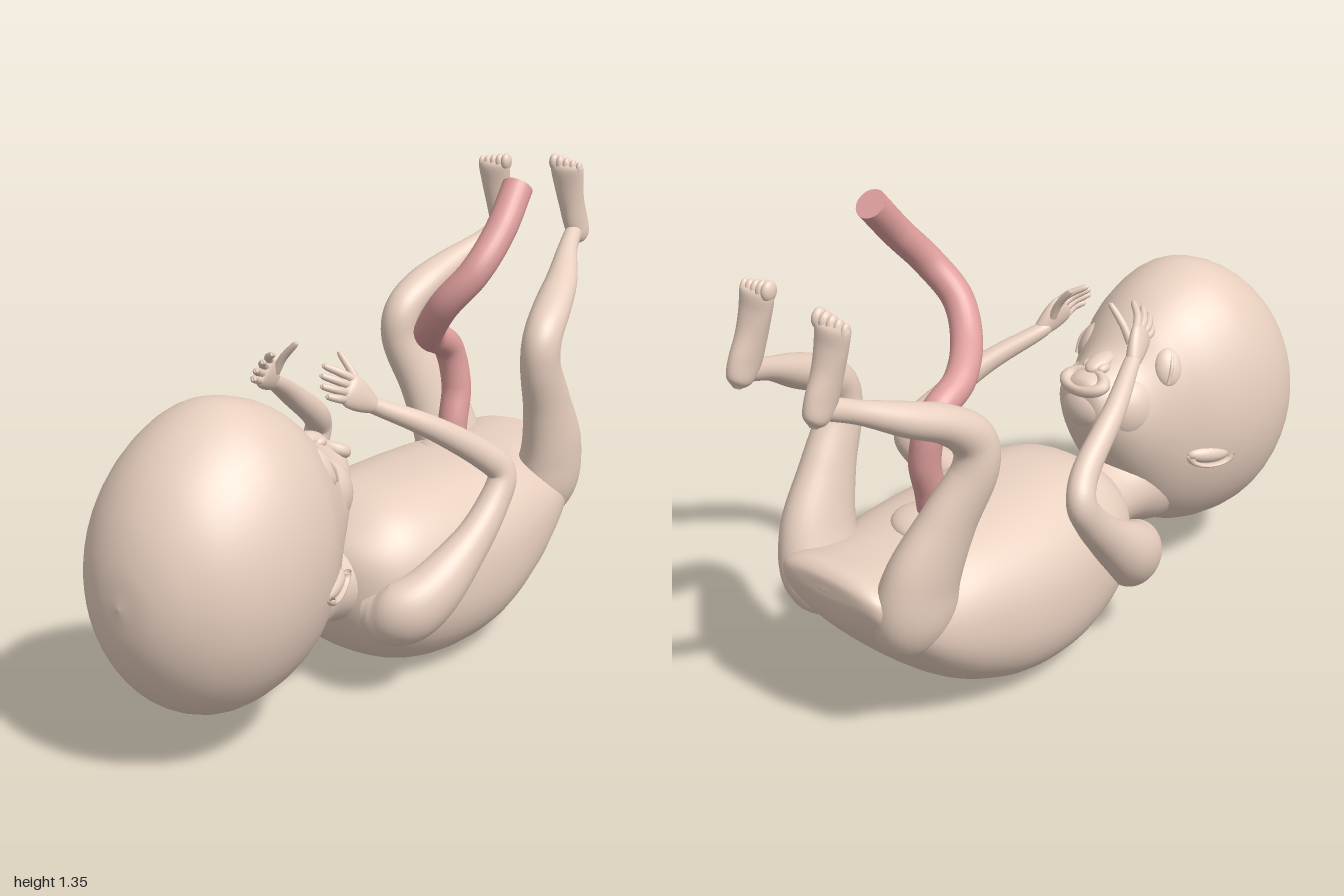
import * as THREE from 'three';

const skin = new THREE.MeshStandardMaterial({ color: 0xe9d0c0, side: THREE.DoubleSide });
const cordMat = new THREE.MeshStandardMaterial({ color: 0xdf9f9d, side: THREE.DoubleSide });
const V = (x, y, z) => new THREE.Vector3(x, y, z);

// Smooth skin through sections [x, y, z, radius in the x-y plane, radius across].
// With alongX the rings stay square to x; power above 2 makes them boxier.
function loft(sections, { alongX = false, power = 2, steps = 8, sides = 32 } = {}) {
  const curve = points => new THREE.CatmullRomCurve3(points, false, 'catmullrom', 0.5);
  const centre = curve(sections.map(s => V(s[0], s[1], s[2])));
  const radii = curve(sections.map(s => V(s[3], s[4], 0)));
  const n = (sections.length - 1) * steps, pos = [], index = [];
  const round = t => Math.sign(t) * Math.abs(t) ** (2 / power);
  for (let i = 0; i <= n; i++) {
    const c = centre.getPoint(i / n), r = radii.getPoint(i / n);
    const T = alongX ? V(1, 0, 0) : centre.getTangent(i / n);
    const S = V(0, 0, 1).addScaledVector(T, -T.z).normalize();
    const N = S.clone().cross(T);
    for (let j = 0; j < sides; j++) {
      const a = j / sides * Math.PI * 2;
      const p = c.clone()
        .addScaledVector(N, Math.max(r.x, 0.0005) * round(Math.cos(a)))
        .addScaledVector(S, Math.max(r.y, 0.0005) * round(Math.sin(a)));
      pos.push(p.x, p.y, p.z);
      if (i < n) {
        const k = (j + 1) % sides, A = i * sides, B = A + sides;
        index.push(A + j, A + k, B + k, A + j, B + k, B + j);
      }
    }
  }
  const g = new THREE.BufferGeometry();
  g.setAttribute('position', new THREE.Float32BufferAttribute(pos, 3));
  g.setIndex(index);
  g.computeVertexNormals();
  return g;
}

// Rows [x, lowest y, highest y, half width] to loft sections
const rows = list => list.map(([x, lo, hi, w]) => [x, (lo + hi) / 2, 0, (hi - lo) / 2, w]);

export function createModel() {
  const model = new THREE.Group();
  const add = (name, geometry, material = skin, parent = model) => {
    const m = new THREE.Mesh(geometry, material);
    m.name = name;
    parent.add(m);
    return m;
  };
  const blob = (name, p, s, tilt = [0, 0, 0], parent = model) => {
    const m = add(name, new THREE.SphereGeometry(1, 24, 16), skin, parent);
    m.position.set(...p);
    m.scale.set(...s);
    m.rotation.set(...tilt);
    return m;
  };

  // Head, tapering from the cranium to the jaw
  add('head', loft(rows([
    [-1, 0.51, 0.511, 0.001], [-0.985, 0.395, 0.62, 0.09], [-0.94, 0.293, 0.73, 0.17],
    [-0.86, 0.2, 0.832, 0.242], [-0.75, 0.143, 0.91, 0.287], [-0.63, 0.135, 0.945, 0.297],
    [-0.5, 0.162, 0.91, 0.268], [-0.4, 0.225, 0.848, 0.215], [-0.32, 0.335, 0.77, 0.165],
    [-0.25, 0.435, 0.733, 0.125], [-0.2, 0.52, 0.722, 0.09], [-0.175, 0.575, 0.7, 0.06],
    [-0.165, 0.64, 0.642, 0.001],
  ]), { alongX: true, sides: 48 }));

  // Neck
  add('neck', loft([
    [-0.62, 0.4, 0, 0.14, 0.17], [-0.45, 0.345, 0, 0.155, 0.16], [-0.33, 0.335, 0, 0.12, 0.13],
    [-0.24, 0.325, 0, 0.115, 0.122], [-0.1, 0.3, 0, 0.14, 0.16],
  ], { alongX: true }));

  // Trunk from shoulders to rump
  add('trunk', loft(rows([
    [-0.24, 0.3, 0.34, 0.02], [-0.22, 0.22, 0.42, 0.12], [-0.17, 0.135, 0.475, 0.2],
    [-0.09, 0.065, 0.525, 0.25], [0.02, 0.018, 0.545, 0.28], [0.15, 0.002, 0.542, 0.3],
    [0.3, 0.015, 0.535, 0.303], [0.45, 0.07, 0.525, 0.285], [0.57, 0.15, 0.5, 0.262],
    [0.68, 0.25, 0.505, 0.235], [0.76, 0.345, 0.515, 0.195], [0.795, 0.42, 0.495, 0.14],
    [0.8, 0.457, 0.459, 0.001],
  ]), { alongX: true, power: 2.35, sides: 48 }));
  blob('navel', [0.43, 0.505, -0.01], [0.1, 0.04, 0.11]);

  // Nose, lips and chin
  blob('nose', [-0.265, 0.738, 0], [0.055, 0.022, 0.032], [0, 0, -0.2]);
  for (const s of [-1, 1]) blob('nostril', [-0.25, 0.731, 0.026 * s], [0.024, 0.015, 0.016]);
  const lips = add('lips', new THREE.TorusGeometry(0.055, 0.018, 12, 32));
  lips.position.set(-0.2, 0.7, 0);
  lips.scale.set(0.7, 1.15, 1);
  lips.rotation.set(-Math.PI / 2, 0.45, 0);
  blob('chin', [-0.195, 0.625, 0], [0.04, 0.06, 0.07]);

  // Closed eyes, cheeks and ears
  for (const s of [-1, 1]) {
    blob('eyelid', [-0.39, 0.725, 0.146 * s], [0.042, 0.058, 0.026], [-0.5 * s, 0.5 * s, 0.35]);
    const crease = new THREE.CatmullRomCurve3([
      V(-0.402, 0.768, 0.147 * s), V(-0.378, 0.732, 0.168 * s), V(-0.362, 0.688, 0.17 * s)]);
    add('eyeCrease', new THREE.TubeGeometry(crease, 12, 0.006, 8));
    blob('cheek', [-0.31, 0.61, 0.075 * s], [0.1, 0.1, 0.075]);
    const ear = new THREE.Group();
    ear.name = 'ear';
    ear.position.set(-0.47, 0.455, 0.236 * s);
    ear.rotation.set(0, 0.35 * s, 0.15);
    model.add(ear);
    blob('earBody', [0, 0, 0], [0.07, 0.026, 0.026], [0, 0, 0], ear);
    // Only the lower edge of the ear folds over
    const rim = add('earRim', new THREE.TorusGeometry(0.06, 0.011, 10, 24, Math.PI), skin, ear);
    rim.scale.set(1.15, 0.5, 1);
    rim.position.z = 0.018 * s;
    rim.rotation.z = Math.PI;
  }

  // Arms: z at elbow, wrist and fingertips
  for (const [s, elbow, wrist, tip] of [[1, 0.315, 0.135, 0.075], [-1, 0.322, 0.205, 0.135]]) {
    const arm = new THREE.Group();
    arm.name = s > 0 ? 'leftArm' : 'rightArm';
    model.add(arm);
    add('upperArmAndForearm', loft([
      [-0.17, 0.25, 0.13 * s, 0.06, 0.06], [-0.155, 0.255, 0.215 * s, 0.095, 0.08],
      [-0.08, 0.305, 0.268 * s, 0.088, 0.075], [0.05, 0.41, 0.303 * s, 0.06, 0.052],
      [0.145, 0.505, elbow * s, 0.047, 0.042], [0.185, 0.58, elbow * s, 0.043, 0.038],
      [0.13, 0.645, (elbow - 0.03) * s, 0.04, 0.036],
      [-0.02, 0.75, (elbow * 0.45 + wrist * 0.55) * s, 0.032, 0.03],
      [-0.15, 0.825, wrist * s, 0.023, 0.023], [-0.18, 0.842, (wrist - 0.01) * s, 0.02, 0.02],
    ]), skin, arm);
    const w = V(-0.155, 0.825, wrist * s), t = V(-0.235, 0.89, (wrist * 0.55 + tip * 0.45) * s);
    const at = (k, r1, r2) => [...w.clone().lerp(t, k).toArray(), r1, r2];
    add('palm', loft([at(-0.1, 0.012, 0.012), at(0.15, 0.026, 0.02), at(0.6, 0.042, 0.022),
      at(0.95, 0.042, 0.017), at(1.1, 0.01, 0.006)]), skin, arm);
    // Fingers fan out from the palm, thumb last
    const ends = [[-0.3, 0.882], [-0.305, 0.908], [-0.29, 0.93], [-0.265, 0.948], [-0.185, 0.96]];
    ends.forEach(([x, y], i) => {
      const k = i / 3, thumb = i === 4;
      const a = thumb ? V(-0.185, 0.87, t.z) : V(-0.252 + 0.04 * k, 0.865 + 0.045 * k, t.z);
      const b = V(x, y, (tip - 0.012 * (i - 1.5)) * s);
      const mid = a.clone().lerp(b, 0.5);
      add(thumb ? 'thumb' : 'finger', loft([
        [a.x, a.y, a.z, 0.012, 0.012], [mid.x, mid.y, mid.z + 0.008 * s, 0.011, 0.011],
        [b.x, b.y, b.z, 0.008, 0.008], [...b.clone().lerp(mid, -0.15).toArray(), 0, 0],
      ], { sides: 10, steps: 4 }), skin, arm);
    });
  }

  // Legs: z at knee, ankle and toes, and a small lift
  for (const [s, knee, ankle, toe, lift] of [[1, 0.22, 0.075, 0.057, 0], [-1, 0.268, 0.19, 0.2, -0.02]]) {
    const leg = new THREE.Group();
    leg.name = s > 0 ? 'leftLeg' : 'rightLeg';
    model.add(leg);
    const mix = k => (knee + (ankle - knee) * k) * s;
    add('thighAndShin', loft([
      [0.6, 0.29, 0.12 * s, 0.05, 0.06], [0.645, 0.38, 0.163 * s, 0.12, 0.09],
      [0.64, 0.5, 0.192 * s, 0.118, 0.078], [0.583, 0.65, (0.11 + knee * 0.45) * s, 0.086, 0.062],
      [0.525, 0.78, knee * s, 0.066, 0.055], [0.53, 0.865, knee * s, 0.06, 0.055],
      [0.61, 0.93, mix(0.15), 0.05, 0.056], [0.72, 0.985 + lift / 2, mix(0.4), 0.044, 0.047],
      [0.84, 1.045 + lift, mix(0.78), 0.03, 0.03], [0.93, 1.08 + lift, ankle * s, 0.028, 0.024],
      [0.96, 1.085 + lift, ankle * s, 0.015, 0.015],
    ]), skin, leg);
    const z = k => (ankle + (toe - ankle) * k) * s;
    add('foot', loft([
      [0.972, 1.045, z(0), 0.008, 0.008], [0.962, 1.065, z(0), 0.036, 0.026],
      [0.943, 1.11, z(0.2), 0.046, 0.031], [0.924, 1.17, z(0.5), 0.039, 0.038],
      [0.912, 1.23, z(0.8), 0.031, 0.048], [0.907, 1.275, z(1), 0.025, 0.054],
      [0.906, 1.29, z(1), 0.004, 0.045],
    ].map(p => [p[0], p[1] + lift, ...p.slice(2)])), skin, leg);
    // Toes, the biggest on the inner side
    for (let i = 0; i < 5; i++) {
      const r = 0.0145 - 0.0012 * i;
      blob('toe', [0.907, 1.288 - 0.004 * i + lift, (toe - 0.043 + 0.0215 * i) * s], [r * 1.5, 0.026, r],
        [0, 0, 0.15], leg);
    }
  }

  // Umbilical cord
  const path = new THREE.CatmullRomCurve3([
    V(0.415, 0.5, -0.015), V(0.43, 0.6, -0.015), V(0.455, 0.7, -0.022), V(0.43, 0.82, -0.035),
    V(0.32, 0.88, -0.02), V(0.21, 0.95, 0.06), V(0.172, 1.03, 0.13), V(0.205, 1.12, 0.2),
    V(0.295, 1.22, 0.22), V(0.395, 1.325, 0.21)]);
  add('cord', new THREE.TubeGeometry(path, 90, 0.043, 24), cordMat);
  const cut = add('cordEnd', new THREE.CircleGeometry(0.043, 24), cordMat);
  cut.position.copy(path.getPoint(1));
  cut.quaternion.setFromUnitVectors(V(0, 0, 1), path.getTangent(1));

  return model;
}
